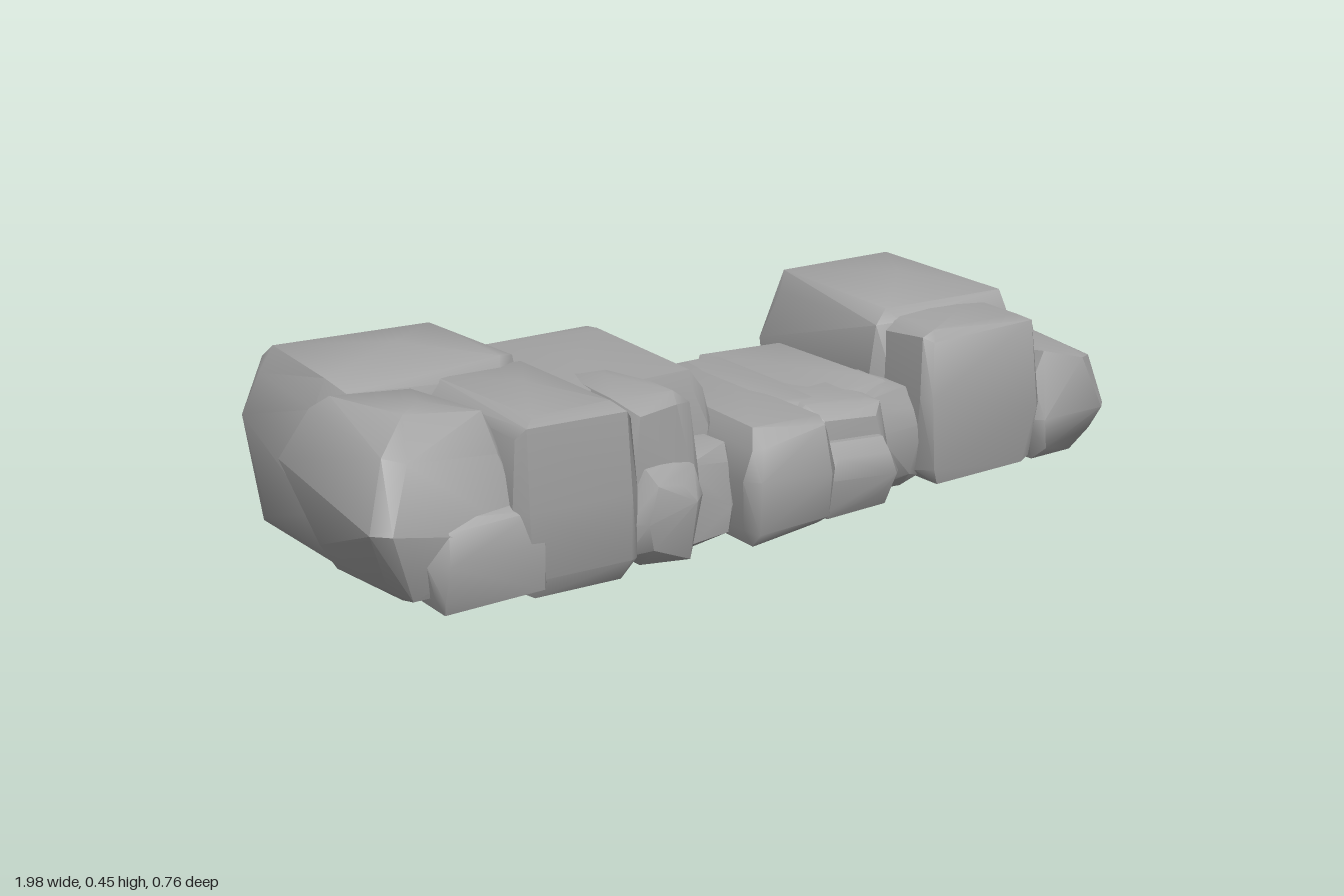
import * as THREE from 'three';
import { toCreasedNormals } from 'three/addons/utils/BufferGeometryUtils.js';
import { ConvexGeometry } from 'three/addons/geometries/ConvexGeometry.js';

// small seeded generator, returns -1..1
function makeRandom(seed) {
  let s = seed;
  return () => {
    s = (s * 16807) % 2147483647;
    return (s / 2147483647) * 2 - 1;
  };
}

// rough-hewn stone: hull of a box with uneven chamfered corners and a wider belt half way up
function stoneGeometry(box, chamfer, belt, crown, rand) {
  const size = box.getSize(new THREE.Vector3());
  const centre = box.getCenter(new THREE.Vector3());
  const axes = ['x', 'y', 'z'];
  const points = [];
  for (let corner = 0; corner < 8; corner++) {
    for (const faceAxis of axes) {
      const p = new THREE.Vector3();
      axes.forEach((axis, i) => {
        const cut = Math.min(chamfer, size[axis] * 0.25);
        const inset = axis === faceAxis ? cut * (0.2 + 0.2 * rand()) : cut * (1 + 0.55 * rand());
        p[axis] = corner & (1 << i) ? box.max[axis] - inset : box.min[axis] + inset;
      });
      points.push(p);
    }
  }
  // belt corners
  for (const sx of [-1, 1]) {
    for (const sz of [-1, 1]) {
      const y = centre.y + size.y * 0.15 * rand();
      const outX = size.x / 2 + belt;
      const outZ = size.z / 2 + belt;
      const cut = chamfer * (0.7 + 0.3 * rand());
      points.push(new THREE.Vector3(centre.x + sx * outX, y, centre.z + sz * (outZ - cut)));
      points.push(new THREE.Vector3(centre.x + sx * (outX - cut), y, centre.z + sz * outZ));
    }
  }
  // crown of the top face
  points.push(new THREE.Vector3(
    centre.x + size.x * 0.14 * rand(),
    box.max.y + crown,
    centre.z + size.z * 0.14 * rand(),
  ));
  return toCreasedNormals(new ConvexGeometry(points), 0.7);
}

export function createModel() {
  const group = new THREE.Group();
  const stone = new THREE.MeshStandardMaterial({ color: 0xa3a3a3 });
  stone.name = 'grey stone';
  const rand = makeRandom(4711);

  // every stone rests just above the ground
  function addStone(name, left, right, top, back, front, chamfer = 0.035, belt = 0.006, crown = 0) {
    const base = 0.018 + 0.012 * rand();
    const box = new THREE.Box3(
      new THREE.Vector3(left, base, back),
      new THREE.Vector3(right, top, front),
    );
    const mesh = new THREE.Mesh(stoneGeometry(box, chamfer, belt, crown, rand), stone);
    mesh.name = name;
    group.add(mesh);
  }

  // tall right end of the wall
  addStone('rightBackStone', -0.93, -0.45, 0.44, -0.36, 0.02, 0.045, 0.018, 0.015);
  addStone('rightEndStone', -0.95, -0.66, 0.42, -0.05, 0.32, 0.06, 0.045);
  addStone('rightFrontStone', -0.68, -0.39, 0.41, -0.05, 0.375);
  addStone('rightFootStone', -0.87, -0.6, 0.24, 0.1, 0.37);

  // step down
  addStone('stepBackStone', -0.44, -0.09, 0.385, -0.3, 0.19, 0.035, 0.006, 0.005);
  addStone('stepFrontStone', -0.41, -0.2, 0.39, -0.02, 0.32, 0.045);
  addStone('stepFootStone', -0.4, -0.22, 0.25, 0.1, 0.37, 0.045);
  addStone('stepSmallStone', -0.25, -0.09, 0.24, 0.08, 0.3, 0.04);

  // low middle
  addStone('middleFrontStone', -0.11, 0.12, 0.29, -0.2, 0.37);
  addStone('middleStone', 0, 0.22, 0.285, -0.22, 0.24);
  addStone('middleBackStone', 0.15, 0.42, 0.28, -0.26, 0.22);
  addStone('middleLeftStone', 0.11, 0.33, 0.275, 0, 0.28);
  addStone('middleFootStone', 0.11, 0.32, 0.2, 0.05, 0.325);
  addStone('joinStone', 0.31, 0.46, 0.27, 0, 0.245);

  // raised left end
  addStone('leftBackStone', 0.41, 0.81, 0.43, -0.345, 0.14, 0.05, 0.015, 0.012);
  addStone('leftFrontStone', 0.43, 0.77, 0.4, -0.02, 0.28);
  addStone('leftShoulderStone', 0.7, 0.83, 0.39, -0.32, 0.13);
  addStone('leftEndStone', 0.76, 0.97, 0.31, -0.32, 0.06, 0.045, 0.01);
  addStone('leftEndFrontStone', 0.76, 0.965, 0.29, -0.02, 0.27, 0.045, 0.015);

  return group;
}
